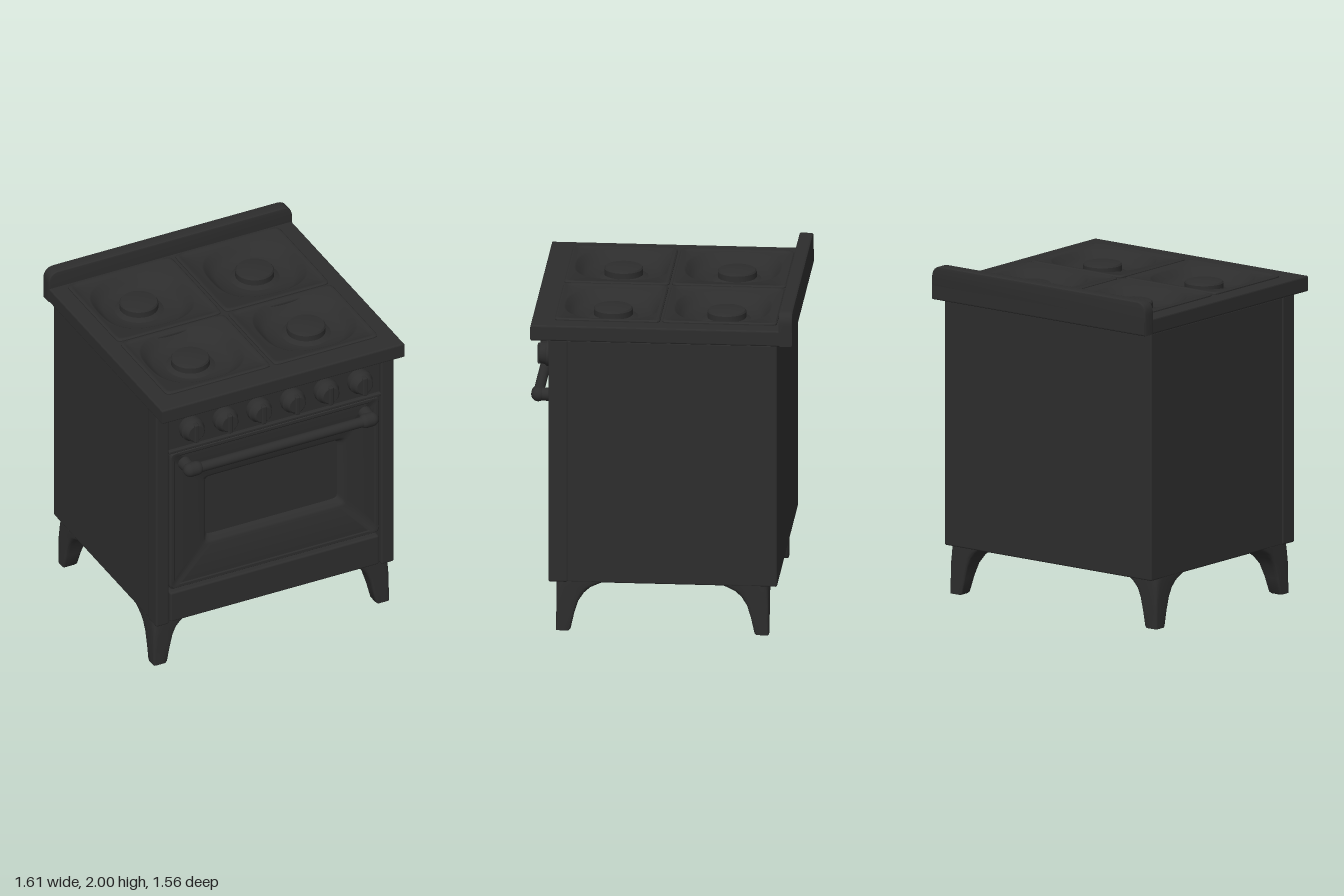
import * as THREE from 'three';
import { toCreasedNormals } from 'three/addons/utils/BufferGeometryUtils.js';
import { RoundedBoxGeometry } from 'three/addons/geometries/RoundedBoxGeometry.js';

const enamel = new THREE.MeshStandardMaterial({ color: 0x2d2d2d });
enamel.name = 'black enamel';

// Skin of superellipse rings [cx, cy, halfW, halfH, z, power], closed at the last ring
function loft(rings, n = 64, crease = 0.6) {
  const pos = [], idx = [];
  for (const [cx, cy, w, h, z, p] of rings) {
    for (let j = 0; j < n; j++) {
      const t = (j / n) * Math.PI * 2, c = Math.cos(t), s = Math.sin(t);
      pos.push(cx + w * Math.sign(c) * Math.abs(c) ** (2 / p), cy + h * Math.sign(s) * Math.abs(s) ** (2 / p), z);
    }
  }
  for (let i = 0; i < rings.length - 1; i++) {
    for (let j = 0; j < n; j++) {
      const a = i * n + j, b = i * n + ((j + 1) % n);
      idx.push(a, b, b + n, a, b + n, a + n);
    }
  }
  const last = rings[rings.length - 1], base = (rings.length - 1) * n;
  pos.push(last[0], last[1], last[4]);
  for (let j = 0; j < n; j++) idx.push(rings.length * n, base + j, base + ((j + 1) % n));
  const g = new THREE.BufferGeometry();
  g.setAttribute('position', new THREE.Float32BufferAttribute(pos, 3));
  g.setIndex(idx);
  return toCreasedNormals(g, crease);
}

function rectPath(target, x0, y0, x1, y1) {
  target.moveTo(x0, y0);
  target.lineTo(x1, y0);
  target.lineTo(x1, y1);
  target.lineTo(x0, y1);
  target.closePath();
  return target;
}

export function createModel() {
  const group = new THREE.Group();
  group.name = 'cooker';
  const add = (name, geometry, x = 0, y = 0, z = 0, parent = group) => {
    const m = new THREE.Mesh(geometry, enamel);
    m.name = name;
    m.position.set(x, y, z);
    parent.add(m);
    return m;
  };
  // Box given by its limits, with softened edges
  const block = (name, x0, x1, y0, y1, z0, z1, r = 0.01) =>
    add(name, new RoundedBoxGeometry(x1 - x0, y1 - y0, z1 - z0, 2, r), (x0 + x1) / 2, (y0 + y1) / 2, (z0 + z1) / 2);

  // Cabinet with front corner posts
  block('cabinet', -0.778, 0.778, 0.3, 1.795, -0.69, 0.59);
  for (const s of [-1, 1]) {
    const a = s * 0.7, b = s * 0.785;
    block('frontPost', Math.min(a, b), Math.max(a, b), 0.3, 1.8, 0.545, 0.66, 0.012);
  }
  block('controlPanel', -0.705, 0.705, 1.5, 1.8, 0.56, 0.64);
  block('panelTrim', -0.7, 0.7, 1.492, 1.512, 0.58, 0.662, 0.006);
  block('drawer', -0.688, 0.688, 0.305, 0.508, 0.57, 0.655, 0.012);

  // Oven door with a sunken window
  add('ovenDoor', loft([
    [0, 0, 0.69, 0.48, 0.57, 50],
    [0, 0, 0.69, 0.48, 0.645, 50],
    [0, 0, 0.682, 0.472, 0.655, 50],
    [0, 0, 0.665, 0.455, 0.655, 50],
    [0, 0, 0.658, 0.448, 0.65, 50],
    [0, 0.015, 0.48, 0.245, 0.65, 24],
    [0, 0.015, 0.46, 0.23, 0.643, 24],
    [0, 0.015, 0.435, 0.205, 0.603, 24],
  ], 80), 0, 1.01, 0);

  // Door handle on two mounts
  const handle = new THREE.Group();
  handle.name = 'doorHandle';
  group.add(handle);
  const bar = new THREE.CylinderGeometry(0.031, 0.031, 1.14, 20).rotateZ(Math.PI / 2);
  add('handleBar', bar, 0, 1.4, 0.735, handle);
  for (const s of [-1, 1]) {
    add('handleEnd', new THREE.CapsuleGeometry(0.043, 0.04, 8, 20).rotateZ(Math.PI / 2), s * 0.578, 1.4, 0.733, handle);
    add('handleMount', new THREE.CylinderGeometry(0.036, 0.042, 0.09, 20).rotateX(Math.PI / 2), s * 0.595, 1.4, 0.69, handle);
  }

  // Control knobs
  const knobProfile = [[0.001, 0.1], [0.05, 0.1], [0.058, 0.093], [0.066, 0.065], [0.075, 0.055], [0.077, 0.03], [0.07, 0]]
    .reverse().map(([r, h]) => new THREE.Vector2(r, h));
  for (const x of [-0.555, -0.333, -0.111, 0.111, 0.333, 0.555]) {
    const knob = new THREE.Group();
    knob.name = 'knob';
    knob.position.set(x, 1.64, 0.63);
    group.add(knob);
    add('knobBody', toCreasedNormals(new THREE.LatheGeometry(knobProfile, 28).rotateX(Math.PI / 2), 0.6), 0, 0, 0, knob);
    add('knobGrip', new RoundedBoxGeometry(0.03, 0.125, 0.05, 2, 0.008), 0, 0, 0.085, knob);
  }

  // Cooktop slab with openings for the four pans
  const columns = [[-0.7, -0.012], [0.01, 0.697]];
  const rows = [[-0.68, -0.004], [0.01, 0.632]];
  const slab = rectPath(new THREE.Shape(), -0.79, -0.755, 0.79, 0.77);
  for (const [x0, x1] of columns) {
    for (const [z0, z1] of rows) {
      slab.holes.push(rectPath(new THREE.Path(), x0 + 0.025, -z1 + 0.025, x1 - 0.025, -z0 - 0.025));
    }
  }
  const slabGeo = new THREE.ExtrudeGeometry(slab, { depth: 0.075, bevelThickness: 0.01, bevelSize: 0.01, bevelSegments: 3 });
  add('cooktop', slabGeo.rotateX(-Math.PI / 2), 0, 1.805, 0);

  // Burner pans with round bowls, and burner caps
  const capProfile = [[0.16, 0], [0.135, 0.012], [0.115, 0.02], [0.115, 0.055], [0.108, 0.064], [0.06, 0.072], [0.001, 0.075]]
    .map(([r, h]) => new THREE.Vector2(r, h));
  for (const [x0, x1] of columns) {
    for (const [z0, z1] of rows) {
      const cx = (x0 + x1) / 2, cz = (z0 + z1) / 2, w = (x1 - x0) / 2, h = (z1 - z0) / 2;
      const bx = Math.sign(cx) * 0.372, bz = cz < 0 ? -0.34 : 0.308;
      const dx = bx - cx, dy = cz - bz;
      const pan = loft([
        [0, 0, w, h, 0.07, 26],
        [0, 0, w, h, 0.087, 26],
        [0, 0, w - 0.008, h - 0.008, 0.094, 26],
        [0, 0, w - 0.022, h - 0.022, 0.094, 26],
        [0, 0, w - 0.03, h - 0.03, 0.088, 26],
        [dx, dy, 0.293, 0.288, 0.088, 2.6],
        [dx, dy, 0.283, 0.278, 0.083, 2.6],
        [dx, dy, 0.26, 0.255, 0.05, 2.5],
        [dx, dy, 0.225, 0.22, 0.026, 2.3],
        [dx, dy, 0.15, 0.15, 0.014, 2],
      ], 64, 0.7);
      add('burnerPan', pan.rotateX(-Math.PI / 2), cx, 1.81, cz);
      const cap = new THREE.LatheGeometry(capProfile, 32);
      add('burnerCap', toCreasedNormals(cap, 0.6), Math.sign(cx) * 0.382, 1.818, cz < 0 ? -0.362 : 0.308);
    }
  }

  // Upstand along the back edge
  const upstand = new THREE.Shape();
  upstand.moveTo(-0.795, 1.805);
  upstand.lineTo(0.795, 1.805);
  upstand.lineTo(0.795, 1.925);
  upstand.quadraticCurveTo(0.795, 1.99, 0.735, 1.99);
  upstand.lineTo(-0.735, 1.99);
  upstand.quadraticCurveTo(-0.795, 1.99, -0.795, 1.925);
  upstand.closePath();
  const upGeo = new THREE.ExtrudeGeometry(upstand, { depth: 0.06, bevelThickness: 0.01, bevelSize: 0.008, bevelSegments: 3, curveSegments: 10 });
  add('backUpstand', toCreasedNormals(upGeo, 0.5), 0, 0, -0.77);

  // Flared legs: [height, reach along x, reach along z] from the outer corner
  const legSteps = [[0, 0.08, 0.075], [0.01, 0.09, 0.085], [0.1, 0.108, 0.105], [0.18, 0.128, 0.13],
    [0.23, 0.155, 0.165], [0.265, 0.19, 0.205], [0.285, 0.22, 0.25], [0.305, 0.25, 0.3]];
  for (const sx of [-1, 1]) {
    for (const [sz, outerZ] of [[1, 0.615], [-1, 0.64]]) {
      const rings = legSteps.map(([y, a, b]) =>
        [sx * (0.777 - a / 2), -sz * (outerZ - b / 2), a / 2, b / 2, y, y > 0.2 ? 6 : 8]);
      const [cx, cy] = rings[0];
      rings.unshift([cx, cy, 0.001, 0.001, 0, 8]);
      add('leg', loft(rings, 40).rotateX(-Math.PI / 2));
    }
  }
  return group;
}
